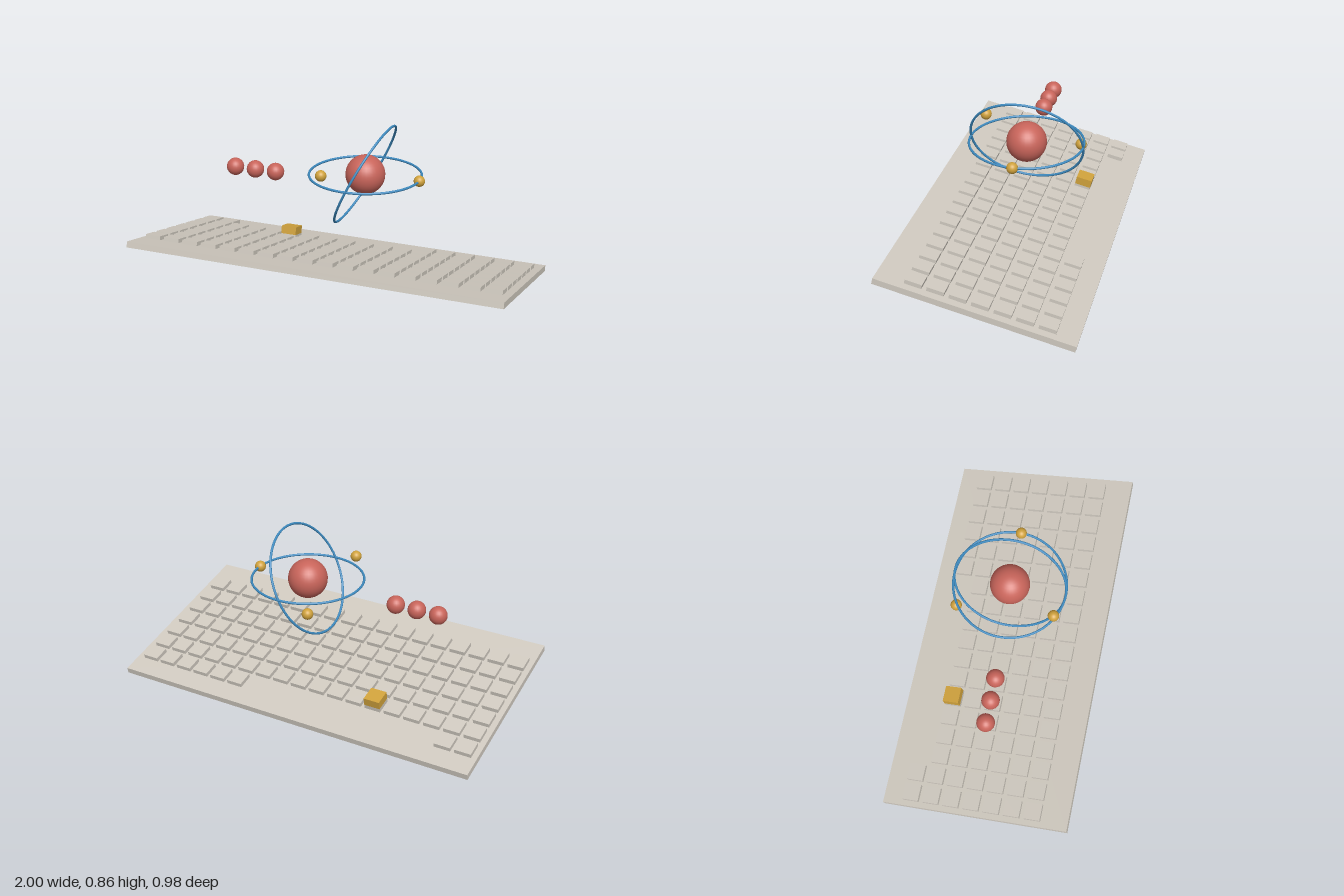
import * as THREE from 'three';

const material = (name, color) => {
  const m = new THREE.MeshStandardMaterial({ color });
  m.name = name;
  return m;
};

export function createModel() {
  const model = new THREE.Group();
  model.name = 'keyboardWithAtom';
  const beige = material('beige', 0xd0cac0);
  const red = material('red', 0xc8645a);
  const blue = material('blue', 0x3d8abf);
  const gold = material('gold', 0xd0a23c);

  const add = (parent, name, geometry, mat, x, y, z) => {
    const mesh = new THREE.Mesh(geometry, mat);
    mesh.name = name;
    mesh.position.set(x, y, z);
    parent.add(mesh);
    return mesh;
  };

  // Sloping keyboard, raised at the front edge
  const keyboard = new THREE.Group();
  keyboard.name = 'keyboard';
  keyboard.position.y = 0.125;
  keyboard.rotation.x = -0.22;
  model.add(keyboard);
  const thick = 0.032;
  add(keyboard, 'board', new THREE.BoxGeometry(2, thick, 0.997), beige, 0, 0, 0);

  // Seven rows of keys; the rear row has a gap
  const keySize = 0.086, keyHeight = 0.0215;
  const keyGeometry = new THREE.BoxGeometry(keySize, keyHeight, keySize);
  const keyX = (column) => -0.928 + column * 0.1085;
  const keyZ = (row) => -0.347 + row * 0.11;
  for (let row = 0; row < 7; row++) {
    for (let column = 0; column < 18; column++) {
      if (row === 0 && column > 1 && column < 12) continue;
      add(keyboard, 'key', keyGeometry, beige, keyX(column), (thick + keyHeight) / 2, keyZ(row));
    }
  }

  // Tall gold block on one key
  const blockHeight = 0.043;
  add(keyboard, 'goldBlock', new THREE.BoxGeometry(keySize, blockHeight, keySize), gold,
    keyX(5), thick / 2 + keyHeight + blockHeight / 2, keyZ(1));

  // Floating atom: nucleus, two orbits, three electrons
  const atom = new THREE.Group();
  atom.name = 'atom';
  atom.position.set(0.125, 0.592, -0.037);
  model.add(atom);
  add(atom, 'nucleus', new THREE.SphereGeometry(0.103, 32, 20), red, 0, 0, 0);

  const orbitRadius = 0.291;
  const orbitGeometry = new THREE.TorusGeometry(orbitRadius, 0.0062, 10, 72);
  orbitGeometry.rotateX(Math.PI / 2);
  add(atom, 'levelOrbit', orbitGeometry, blue, 0, 0, 0);
  add(atom, 'tiltedOrbit', orbitGeometry, blue, 0, 0, 0).rotation.z = 1.11;

  const electronGeometry = new THREE.SphereGeometry(0.029, 24, 16);
  [0, 0.056, -0.056].forEach((y, i) => {
    const a = (i * 2 * Math.PI) / 3;
    add(atom, 'electron', electronGeometry, gold,
      orbitRadius * Math.cos(a), y, orbitRadius * Math.sin(a));
  });

  // Row of three floating balls
  const ballGeometry = new THREE.SphereGeometry(0.0465, 24, 16);
  for (let i = 0; i < 3; i++) {
    add(model, 'floatingBall', ballGeometry, red, -0.604 + i * 0.117, 0.552, -0.01);
  }
  return model;
}
